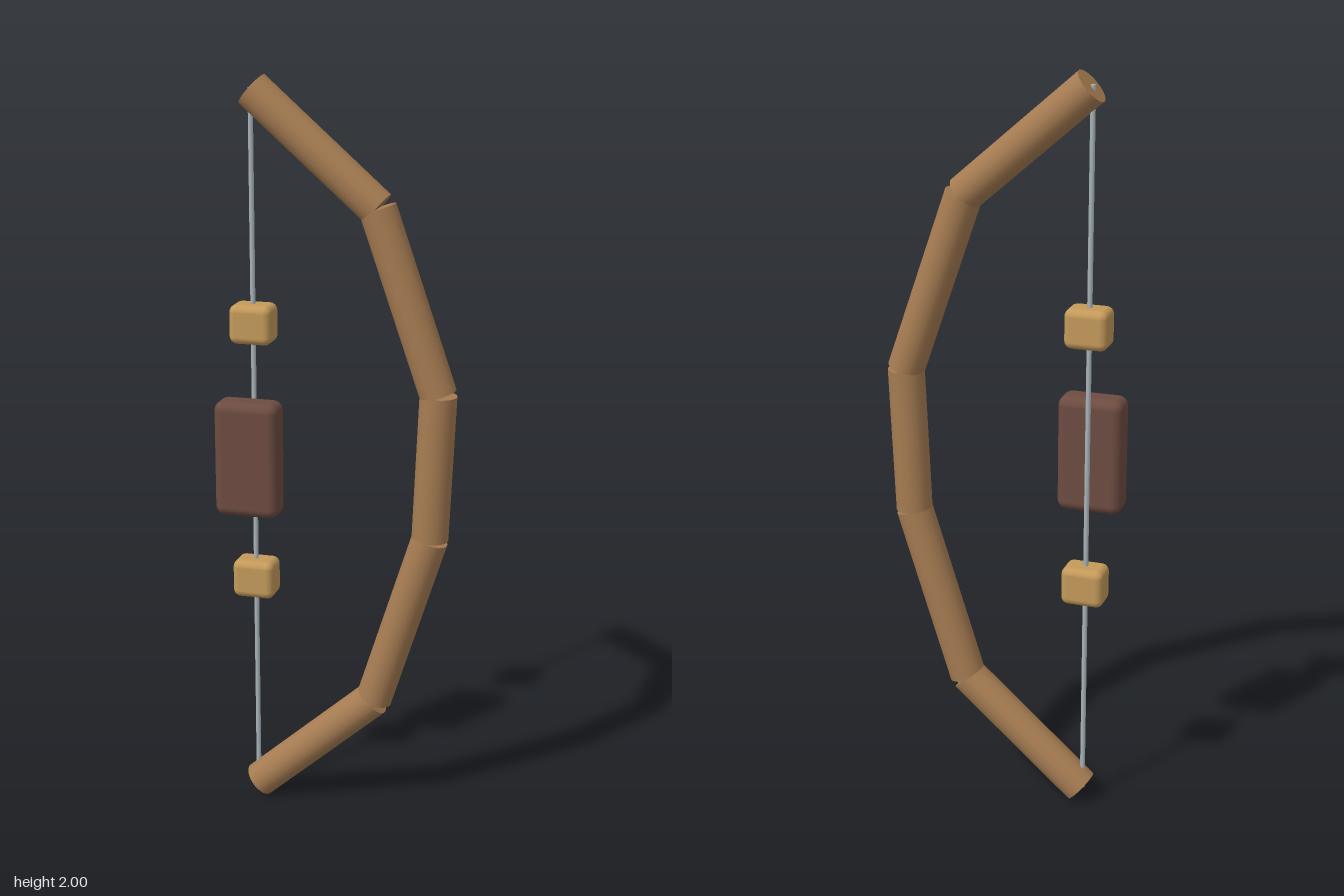
import * as THREE from 'three';
import { RoundedBoxGeometry } from 'three/addons/geometries/RoundedBoxGeometry.js';

const material = (name, color) => {
  const m = new THREE.MeshStandardMaterial({ color });
  m.name = name;
  return m;
};

export function createModel() {
  const wood = material('wood', 0xa67c52);
  const leather = material('dark leather', 0x6d4c41);
  const tan = material('tan', 0xc49a5a);
  const cord = material('grey cord', 0xa9b4ba);

  const model = new THREE.Group();
  model.name = 'bow';
  const Z = -0.024;

  // Straight round rod between two points in the bow's plane
  const rod = (name, [x1, y1], [x2, y2], radius, sides, mat) => {
    const a = new THREE.Vector3(x1, y1, Z);
    const b = new THREE.Vector3(x2, y2, Z);
    const dir = b.clone().sub(a);
    const mesh = new THREE.Mesh(new THREE.CylinderGeometry(radius, radius, dir.length(), sides), mat);
    mesh.position.copy(a).add(b).multiplyScalar(0.5);
    mesh.quaternion.setFromUnitVectors(new THREE.Vector3(0, 1, 0), dir.normalize());
    mesh.name = name;
    model.add(mesh);
  };

  // Soft-edged block
  const block = (name, size, radius, position, mat) => {
    const mesh = new THREE.Mesh(new RoundedBoxGeometry(...size, 3, radius), mat);
    mesh.position.set(...position);
    mesh.name = name;
    model.add(mesh);
  };

  // Five wooden segments, from the lower tip to the upper tip
  const joints = [[-0.23, 0.037], [0.1, 0.327], [0.25, 0.803], [0.267, 1.198], [0.102, 1.675], [-0.23, 1.965]];
  const names = ['lowerTip', 'lowerLimb', 'handle', 'upperLimb', 'upperTip'];
  names.forEach((name, i) => rod(name, joints[i], joints[i + 1], 0.049, 24, wood));

  // String between the tips
  rod('string', [-0.234, 0.036], [-0.234, 1.968], 0.007, 8, cord);

  // Blocks threaded on the string, and the pad in front of it
  block('lowerBlock', [0.115, 0.105, 0.086], 0.02, [-0.233, 0.65, Z], tan);
  block('upperBlock', [0.115, 0.105, 0.086], 0.02, [-0.233, 1.358, Z], tan);
  block('pad', [0.175, 0.315, 0.088], 0.026, [-0.233, 1.003, 0.026], leather);

  return model;
}
